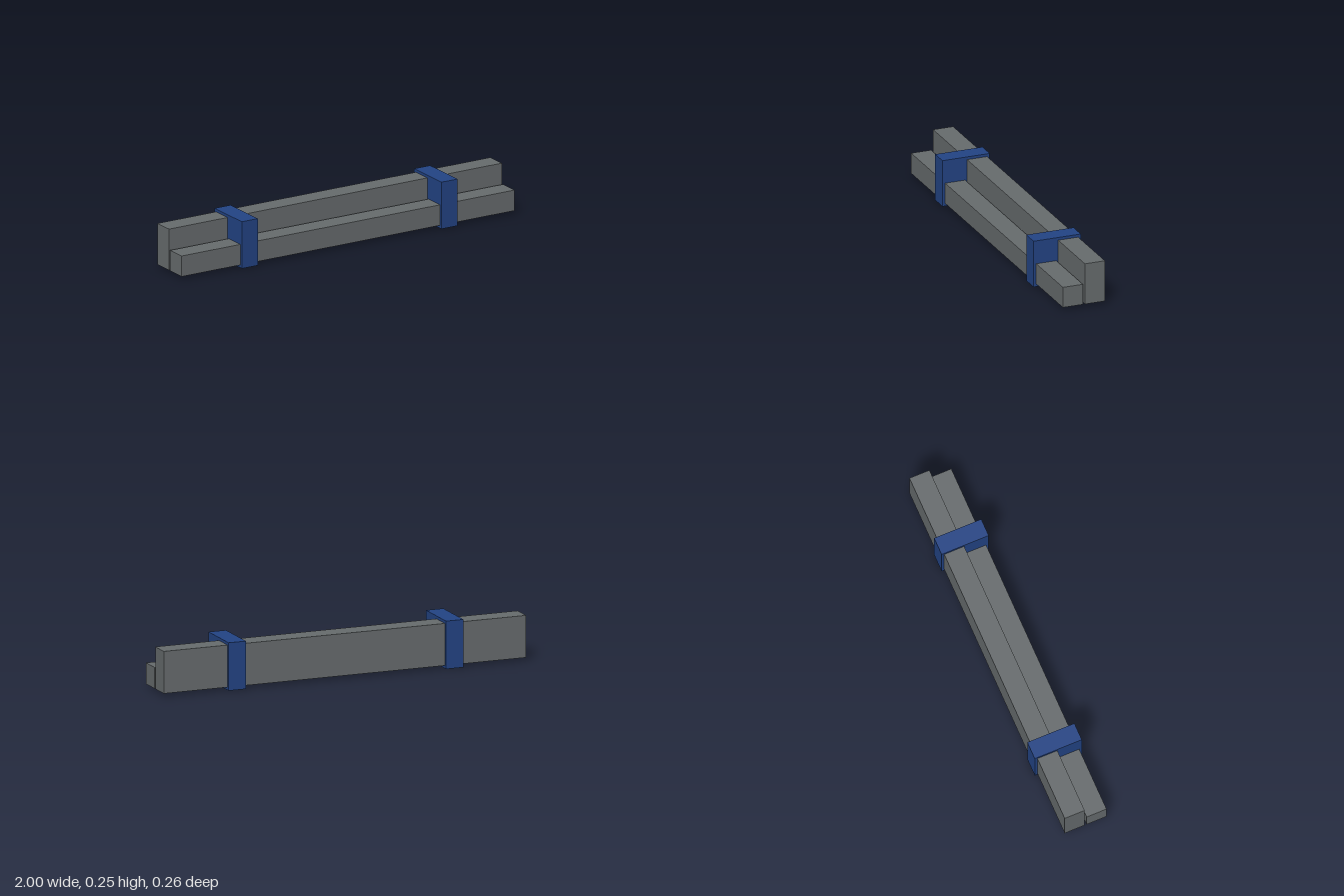
import * as THREE from 'three';

export function createModel() {
  const model = new THREE.Group();
  model.name = 'strappedBeams';

  const steel = new THREE.MeshStandardMaterial({ color: 0x676c6e });
  steel.name = 'steel grey';
  const blue = new THREE.MeshStandardMaterial({ color: 0x234485 });
  blue.name = 'strap blue';

  // Box given by its centre x, bottom y, centre z and size
  function addBox(name, material, [w, h, d], [x, y, z]) {
    const mesh = new THREE.Mesh(new THREE.BoxGeometry(w, h, d), material);
    mesh.name = name;
    mesh.position.set(x, y + h / 2, z);
    model.add(mesh);
  }

  // Two long beams side by side with a narrow gap
  addBox('frontBeam', steel, [2, 0.11, 0.11], [0, 0.015, 0.0605]);
  addBox('rearBeam', steel, [2, 0.22, 0.11], [0, 0.015, -0.0605]);

  // Solid clamp blocks around both beams
  for (const side of [1, -1]) {
    addBox(side > 0 ? 'leftClamp' : 'rightClamp', blue, [0.096, 0.25, 0.26], [side * 0.6, 0, 0]);
  }

  return model;
}
